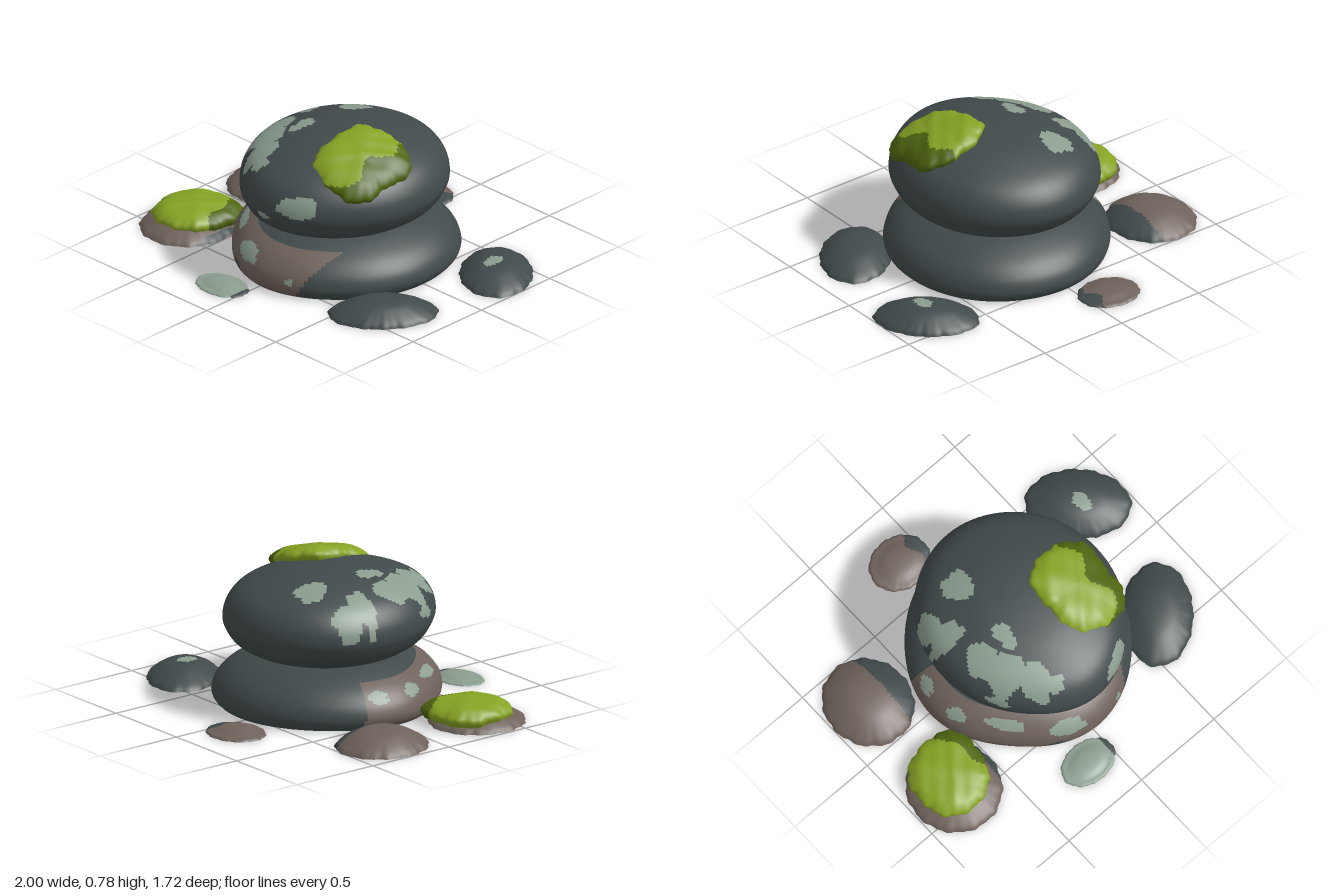
import * as THREE from 'three';

const mat = (name, color) => new THREE.MeshStandardMaterial({ name, color, side: THREE.DoubleSide });
const palette = [
  mat('slate grey', 0x414a4b),
  mat('warm brown', 0x6e625b),
  mat('pale lichen', 0x8b9d8f),
  mat('bright moss', 0x86a324),
  mat('dark moss', 0x4f6610),
];
const [SLATE, BROWN, LICHEN, MOSS, DARK_MOSS] = [0, 1, 2, 3, 4];

// Smooth closed outline: radii at equal angles, running from +x towards +z
function outline(radii) {
  const n = radii.length;
  return (a) => {
    const t = ((a / (Math.PI * 2)) * n + n) % n, i = Math.floor(t), f = t - i;
    const [p, q, r, s] = [-1, 0, 1, 2].map((k) => radii[(i + k + n) % n]);
    return q + 0.5 * f * (r - p + f * (2 * p - 5 * q + 4 * r - s + f * (3 * (q - r) + s - p)));
  };
}

// Ellipse turned by an angle in the ground plane
const ellipse = (rx, rz, turn = 0) => (a) =>
  (rx * rz) / Math.hypot(rz * Math.cos(a - turn), rx * Math.sin(a - turn));

// Shell of stacked rings; paint(x, y, z) picks the palette colour of each face
function shell(name, { x: cx, z: cz, radius, profile, paint, cols = 96, rows = 20, rough = 0, tilt = [0, 0], bump = 0 }) {
  const curve = new THREE.SplineCurve(profile.map(([s, y]) => new THREE.Vector2(s, y)));
  const pos = [];
  for (let j = 0; j <= rows; j++) {
    const p = curve.getPoint(j / rows), s = Math.max(0, p.x);
    for (let i = 0; i < cols; i++) {
      const a = (i / cols) * Math.PI * 2;
      const jag = 1 + rough * s ** 4 * (Math.sin(11 * a + cx * 9) + 0.7 * Math.sin(23 * a + cz * 7));
      const dx = Math.cos(a) * radius(a) * s * jag, dz = Math.sin(a) * radius(a) * s * jag;
      const lump = bump * (Math.sin(dx * 31 + 1) * Math.cos(dz * 27) + 0.5 * Math.sin(dx * 55 + dz * 47));
      pos.push(cx + dx, p.y + dx * tilt[0] + dz * tilt[1] + lump, cz + dz);
    }
  }
  const faces = palette.map(() => []);
  for (let j = 0; j < rows; j++) {
    for (let i = 0; i < cols; i++) {
      const k = (i + 1) % cols, a = j * cols + i, b = j * cols + k, c = a + cols, d = b + cols;
      const mid = [0, 1, 2].map((m) => (pos[a * 3 + m] + pos[b * 3 + m] + pos[c * 3 + m] + pos[d * 3 + m]) / 4);
      faces[paint(...mid)].push(a, c, b, b, c, d);
    }
  }
  const geo = new THREE.BufferGeometry();
  geo.setAttribute('position', new THREE.Float32BufferAttribute(pos, 3));
  geo.setIndex(faces.flat());
  let start = 0;
  faces.forEach((f, m) => {
    if (f.length) geo.addGroup(start, f.length, m);
    start += f.length;
  });
  geo.computeVertexNormals();
  const mesh = new THREE.Mesh(geo, palette);
  mesh.name = name;
  return mesh;
}

// True when (u, v) lies in one of the wavy-edged blobs [u, v, ru, rv]
const inBlobs = (blobs, u, v) => blobs.some(([cu, cv, ru, rv]) => {
  const p = (u - cu) / ru, q = (v - cv) / rv, a = Math.atan2(q, p);
  return Math.hypot(p, q) < 1 + 0.08 * Math.sin(3 * a + cu * 20) + 0.05 * Math.sin(5 * a + cv * 30);
});

// Lichen on the upper stone: blobs seen from above (x, z) and from the front (x, y)
const topLichen = [
  [-0.16, -0.24, 0.08, 0.085], [-0.38, -0.08, 0.1, 0.06], [-0.4, -0.18, 0.06, 0.09],
  [-0.33, 0.14, 0.08, 0.09], [-0.29, 0.27, 0.1, 0.1], [-0.2, 0.4, 0.08, 0.1], [-0.13, 0.48, 0.05, 0.04],
  [-0.17, 0.13, 0.045, 0.08],
];
const frontLichen = [[0.22, 0.52, 0.1, 0.055], [-0.39, 0.52, 0.035, 0.03], [0.03, 0.435, 0.04, 0.02]];

// Lichen on the lower stone: front (x, y) and side (z, y)
const lowerFront = [[-0.36, 0.185, 0.065, 0.025], [-0.12, 0.155, 0.09, 0.038], [0.2, 0.1, 0.02, 0.02]];
const lowerSide = [[-0.08, 0.17, 0.05, 0.03], [0.14, 0.17, 0.05, 0.03]];

const dome = (h) => [[1, 0.012], [0.93, 0.2 * h + 0.012], [0.75, 0.58 * h], [0.5, 0.85 * h], [0.25, 0.97 * h], [0, h]];
const mossCap = (y, h) => [[0.94, y - 0.03], [1, y], [0.94, y + h * 0.35], [0.75, y + h * 0.7], [0.4, y + h * 0.95], [0, y + h]];

export function createModel() {
  const model = new THREE.Group();
  model.name = 'stackedStones';

  // Two large stacked stones
  model.add(shell('lowerStone', {
    x: 0.01, z: 0.03, cols: 180, rows: 48,
    radius: outline([0.6, 0.59, 0.61, 0.56, 0.59, 0.58, 0.61, 0.62]),
    profile: [[0.95, 0.012], [0.99, 0.04], [1, 0.08], [0.96, 0.14], [0.86, 0.2], [0.7, 0.25], [0.52, 0.284]],
    paint: (x, y, z) => {
      const brown = y < 0.23 && x < 0.22 + 0.5 * y && z > -0.2 + 0.3 * y && (z > 0.2 || x < -0.2);
      if (!brown || (z > 0 && inBlobs([[-0.2, 0.03, 0.07, 0.05]], x, y))) return SLATE;
      const lichen = (z > 0.25 && inBlobs(lowerFront, x, y)) || (x < -0.4 && inBlobs(lowerSide, z, y));
      return lichen ? LICHEN : BROWN;
    },
  }));
  model.add(shell('upperStone', {
    x: 0.035, z: 0.04, cols: 180, rows: 60,
    radius: outline([0.525, 0.54, 0.585, 0.53, 0.525, 0.56, 0.58, 0.55]),
    profile: [[0.55, 0.28], [0.72, 0.295], [0.89, 0.35], [0.97, 0.41], [1, 0.465], [0.97, 0.54], [0.87, 0.612],
      [0.7, 0.665], [0.45, 0.71], [0.2, 0.73], [0, 0.735]],
    paint: (x, y, z) =>
      (y > 0.46 && inBlobs(topLichen, x, z)) || (z > 0.1 && inBlobs(frontLichen, x, y)) ? LICHEN : SLATE,
  }));

  // Moss on the upper stone
  model.add(shell('upperMoss', {
    x: 0.3, z: 0.18, rough: 0.022, tilt: [-0.3, -0.2], bump: 0.004,
    radius: outline([0.19, 0.24, 0.24, 0.24, 0.2, 0.25, 0.25, 0.26]),
    profile: mossCap(0.665, 0.08),
    paint: (x, y, z) => (x > 0.39 + 0.03 * Math.sin(z * 25) || y < 0.635 ? DARK_MOSS : MOSS),
  }));

  // Small stones lying around the stack
  const pebbles = [
    ['leftBackStone', -0.765, -0.255, ellipse(0.23, 0.25), 0.11, (x) => (x > -0.67 ? SLATE : BROWN)],
    ['mossyStone', -0.745, 0.385, ellipse(0.245, 0.255), 0.1, (x) => (x > -0.54 ? SLATE : BROWN)],
    ['backStone', -0.135, -0.715, ellipse(0.17, 0.145), 0.05,
      (x, y, z) => (x > -0.04 - 0.02 * Math.sin(z * 40) ? SLATE : BROWN)],
    ['frontStone', -0.14, 0.745, ellipse(0.158, 0.113), 0.038, (x) => (x > -0.015 ? SLATE : LICHEN)],
    ['rightBackStone', 0.765, -0.345, ellipse(0.275, 0.19, Math.PI / 4), 0.1,
      (x, y, z) => (inBlobs([[0.77, -0.32, 0.04, 0.06]], x, z) ? LICHEN : SLATE)],
    ['rightFrontStone', 0.665, 0.38, ellipse(0.285, 0.185, -Math.PI / 3.7), 0.1, () => SLATE],
  ];
  for (const [name, x, z, radius, h, paint] of pebbles)
    model.add(shell(name, { x, z, radius, profile: dome(h), paint, rough: 0.016 }));

  // Moss on the small stone
  model.add(shell('lowerMoss', {
    x: -0.735, z: 0.345, rough: 0.02, bump: 0.004,
    radius: outline([0.2, 0.2, 0.21, 0.22, 0.205, 0.22, 0.22, 0.25]),
    profile: mossCap(0.075, 0.07),
    paint: (x, y, z) => (x - 0.3 * z > -0.69 + 0.02 * Math.sin(z * 30) ? DARK_MOSS : MOSS),
  }));

  return model;
}
